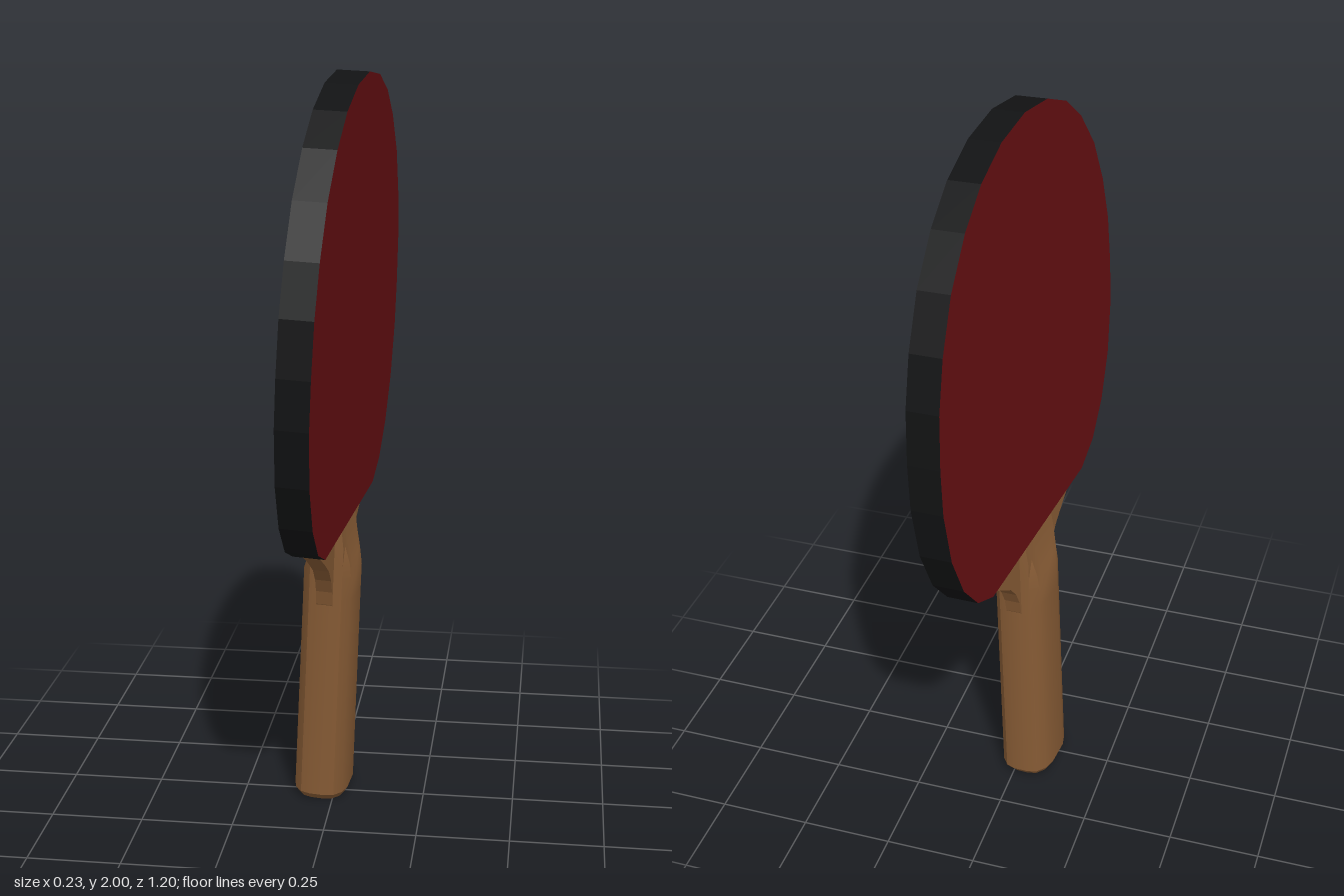
import * as THREE from 'three';
import { toCreasedNormals } from 'three/addons/utils/BufferGeometryUtils.js';

const material = (name, color) => {
  const m = new THREE.MeshStandardMaterial({ color });
  m.name = name;
  return m;
};

// Extrude a half outline (width, height), mirrored across the middle, into a plate facing +x and -x
function plate(half, thickness) {
  const mirrored = half.map(([w, h]) => [-w, h]).reverse();
  const shape = new THREE.Shape([...half, ...mirrored].map(([w, h]) => new THREE.Vector2(w, h)));
  const geo = new THREE.ExtrudeGeometry(shape, { depth: thickness, bevelEnabled: false });
  return geo.translate(0, 0, -thickness / 2).rotateY(Math.PI / 2);
}

// Loft the rounded grip section up the handle, shaving its broad faces down towards the blade
function handleGeometry() {
  const q = [[0.075, 0.04], [0.066, 0.075], [0.046, 0.1], [0.02, 0.108]];
  const back = [...q].reverse();
  const section = [
    ...q,
    ...back.map(([x, z]) => [-x, z]),
    ...q.map(([x, z]) => [-x, -z]),
    ...back.map(([x, z]) => [x, -z]),
  ];
  // height, scale, greatest half thickness
  const rings = [
    [0.004, 0.87, 1], [0.022, 1, 1], [0.6, 0.97, 1], [0.665, 0.97, 0.073],
    [0.7, 0.97, 0.06], [0.75, 0.97, 0.045], [0.83, 0.97, 0.034],
  ];
  const n = section.length, pos = [], index = [];
  for (const [y, s, limit] of rings)
    for (const [x, z] of section)
      pos.push(THREE.MathUtils.clamp(x * s, -limit, limit), y, z * s);
  for (let r = 0; r < rings.length - 1; r++)
    for (let i = 0; i < n; i++) {
      const a = r * n + i, b = r * n + (i + 1) % n;
      index.push(a, a + n, b, b, a + n, b + n);
    }
  // butt end
  const centre = pos.length / 3;
  pos.push(0, 0.004, 0);
  for (let i = 0; i < n; i++) index.push(centre, i, (i + 1) % n);
  const geo = new THREE.BufferGeometry();
  geo.setAttribute('position', new THREE.Float32BufferAttribute(pos, 3));
  geo.setIndex(index);
  return toCreasedNormals(geo, 0.5);
}

export function createModel() {
  const red = material('red rubber', 0x640f12);
  const black = material('black edge', 0x111213);
  const wood = material('wood', 0x855a34);
  const model = new THREE.Group();
  model.name = 'paddle';
  const add = (name, geo, mat) => {
    const mesh = new THREE.Mesh(geo, mat);
    mesh.name = name;
    model.add(mesh);
  };

  // Blade: red faces with a black rim
  add('blade', plate([
    [0.335, 0.805], [0.43, 0.85], [0.51, 0.94], [0.568, 1.065], [0.597, 1.215], [0.597, 1.34],
    [0.583, 1.48], [0.545, 1.61], [0.48, 1.74], [0.385, 1.85], [0.28, 1.928], [0.15, 1.98], [0, 1.999],
  ].slice(0, -1).concat([[0.001, 1.999]]), 0.085), [red, black]);

  // Neck: thin concave flare between grip and blade
  add('neck', plate([
    [0.09, 0.56], [0.106, 0.59], [0.115, 0.63], [0.135, 0.67], [0.17, 0.71],
    [0.23, 0.75], [0.325, 0.806], [0.325, 0.83],
  ], 0.044), wood);

  add('handle', handleGeometry(), wood);

  // Slight lean and turn of the whole paddle
  const up = new THREE.Vector3(0.042, 1, 0.021).normalize();
  const side = new THREE.Vector3(-0.075, -0.018, 1);
  const face = new THREE.Vector3().crossVectors(up, side).normalize();
  side.crossVectors(face, up);
  model.quaternion.setFromRotationMatrix(new THREE.Matrix4().makeBasis(face, up, side));
  model.position.set(-0.035, 0.002, -0.029);

  const root = new THREE.Group();
  root.name = 'tableTennisPaddle';
  root.add(model);
  return root;
}
